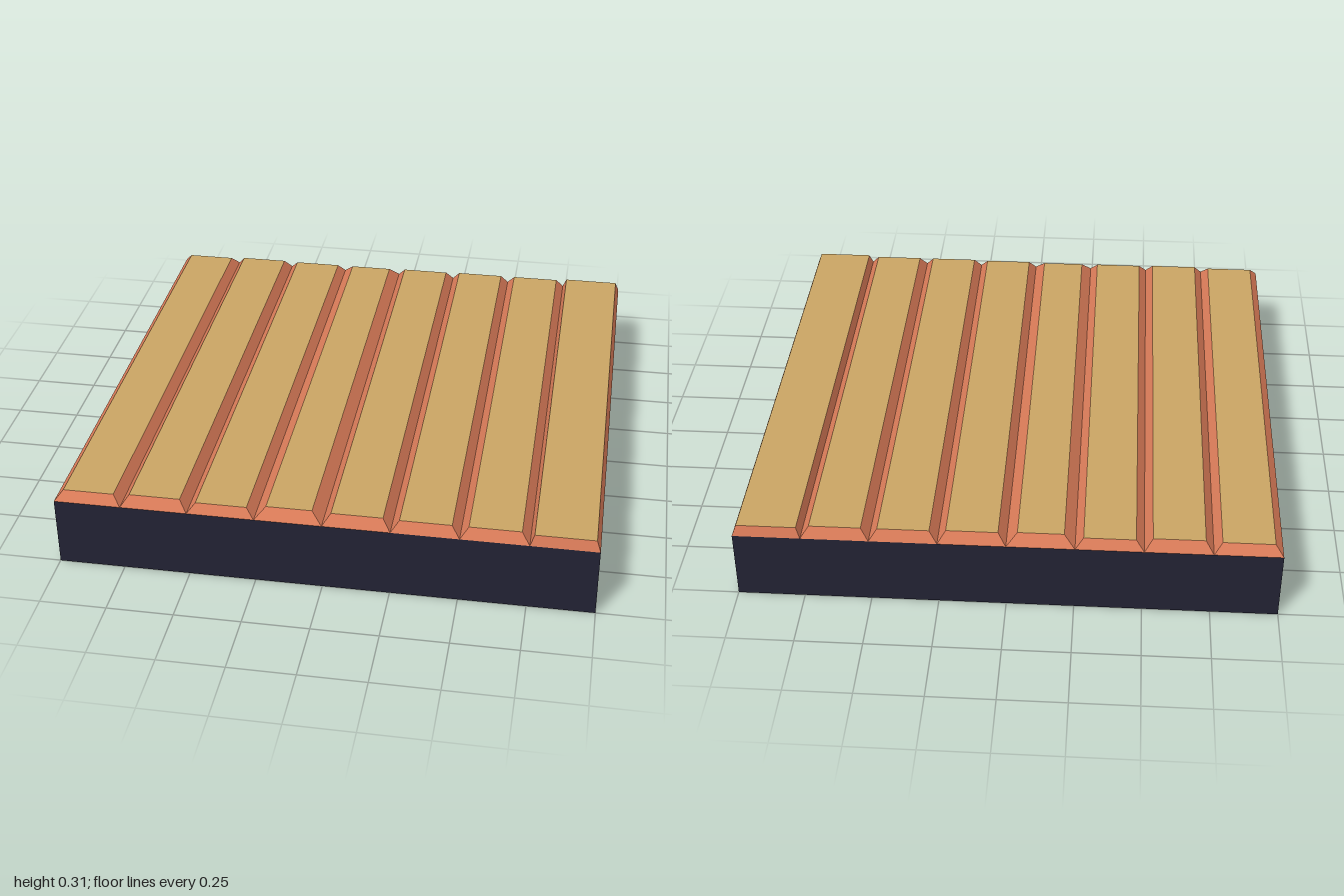
import * as THREE from 'three';

const BASE_H = 0.27;
const PITCH = 0.25;

export function createModel() {
  const paint = (name, color) => {
    const m = new THREE.MeshStandardMaterial({ color });
    m.name = name;
    return m;
  };
  const dark = paint('dark base', 0x222234);
  const tan = paint('tan wood', 0xc9a463);
  const orange = paint('orange edge', 0xd97b58);

  const model = new THREE.Group();
  model.name = 'plankFloor';

  // Solid base slab
  const base = new THREE.Mesh(new THREE.BoxGeometry(2, BASE_H, 2), dark);
  base.name = 'base';
  base.position.y = BASE_H / 2;
  model.add(base);

  // Each plank: top left x, top right x, top height, end inset
  const planks = [
    [-0.97, -0.78, 0.305, 0.03],
    [-0.72, -0.53, 0.31, 0.03],
    [-0.47, -0.28, 0.305, 0.025],
    [-0.21, -0.04, 0.31, 0.035],
    [0.03, 0.22, 0.31, 0.03],
    [0.28, 0.47, 0.31, 0.025],
    [0.53, 0.72, 0.31, 0.025],
    [0.765, 0.985, 0.31, 0.013],
  ];

  planks.forEach(([left, right, top, inset], i) => {
    // Box with its top face drawn in, so all four sides slope
    const geo = new THREE.BoxGeometry(1, 1, 1);
    const p = geo.attributes.position;
    const x0 = -1 + i * PITCH;
    for (let v = 0; v < p.count; v++) {
      const up = p.getY(v) > 0;
      const x = p.getX(v) > 0 ? (up ? right : x0 + PITCH) : (up ? left : x0);
      const z = Math.sign(p.getZ(v)) * (up ? 1 - inset : 1);
      p.setXYZ(v, x, up ? top : BASE_H, z);
    }
    geo.computeVertexNormals();
    const plank = new THREE.Mesh(geo, [orange, orange, tan, orange, orange, orange]);
    plank.name = `plank${i + 1}`;
    model.add(plank);
  });

  return model;
}
